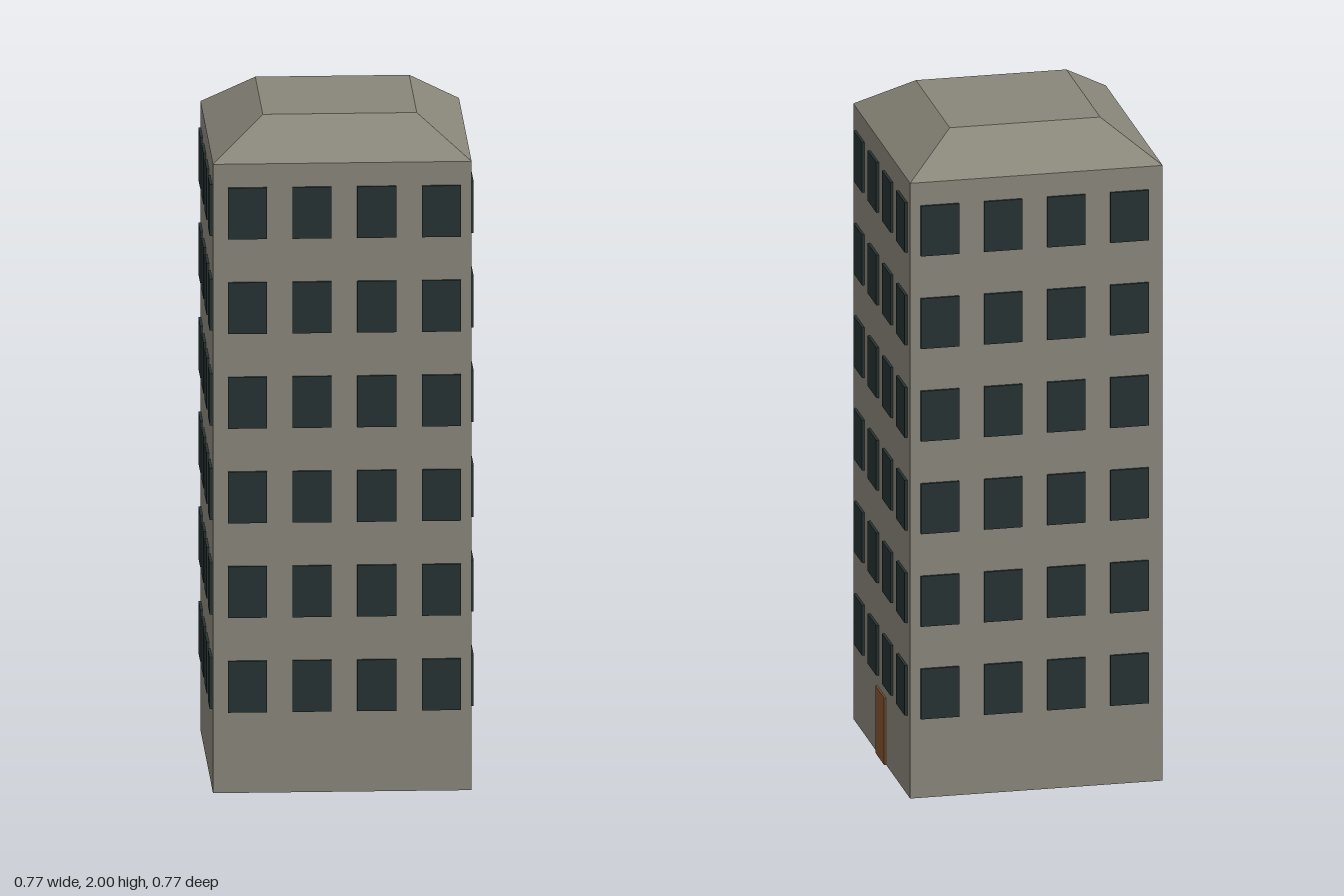
import * as THREE from 'three';

const CX = -0.0015; // tower centre in x
const HALF = 0.377; // half width of the tower
const EAVE = 1.89; // height of the walls

export function createModel() {
  const stone = new THREE.MeshStandardMaterial({ color: 0x89867a });
  stone.name = 'stone';
  const glass = new THREE.MeshStandardMaterial({ color: 0x263232 });
  glass.name = 'dark glass';
  const wood = new THREE.MeshStandardMaterial({ color: 0x84542f });
  wood.name = 'door wood';

  const building = new THREE.Group();
  building.name = 'towerBlock';

  const add = (parent, name, geometry, material, x, y, z) => {
    const mesh = new THREE.Mesh(geometry, material);
    mesh.name = name;
    mesh.position.set(x, y, z);
    parent.add(mesh);
    return mesh;
  };

  // Walls, lifted a hair so the door's foot shows underneath
  add(building, 'walls', new THREE.BoxGeometry(2 * HALF, EAVE - 0.001, 2 * HALF),
    stone, CX, (EAVE + 0.001) / 2, 0);

  // Sloped roof with a flat top: a four-sided frustum with faceted normals
  const roofHeight = 2 - EAVE;
  const roof = new THREE.CylinderGeometry(0.2245 * Math.SQRT2, HALF * Math.SQRT2, roofHeight, 4)
    .rotateY(Math.PI / 4).toNonIndexed();
  roof.computeVertexNormals();
  add(building, 'roof', roof, stone, CX, EAVE + roofHeight / 2, 0);

  // Windows: six floors of four on each side
  const pane = new THREE.BoxGeometry(0.114, 0.154, 0.009);
  const sides = [
    ['frontWindows', 0, 0.006],
    ['leftWindows', Math.PI / 2, 0],
    ['backWindows', Math.PI, -0.006],
    ['rightWindows', -Math.PI / 2, 0],
  ];
  for (const [name, angle, shift] of sides) {
    const wall = new THREE.Group();
    wall.name = name;
    wall.position.x = CX;
    wall.rotation.y = angle;
    for (let floor = 0; floor < 6; floor++) {
      for (let column = 0; column < 4; column++) {
        add(wall, 'window', pane, glass,
          (column - 1.5) * 0.1885 + shift, 0.321 + floor * 0.2843, HALF + 0.0035);
      }
    }
    building.add(wall);
  }

  // Entrance door on the left side, set into the wall
  add(building, 'door', new THREE.BoxGeometry(0.08, 0.206, 0.116), wood, 0.341, 0.103, 0.001);

  return building;
}
